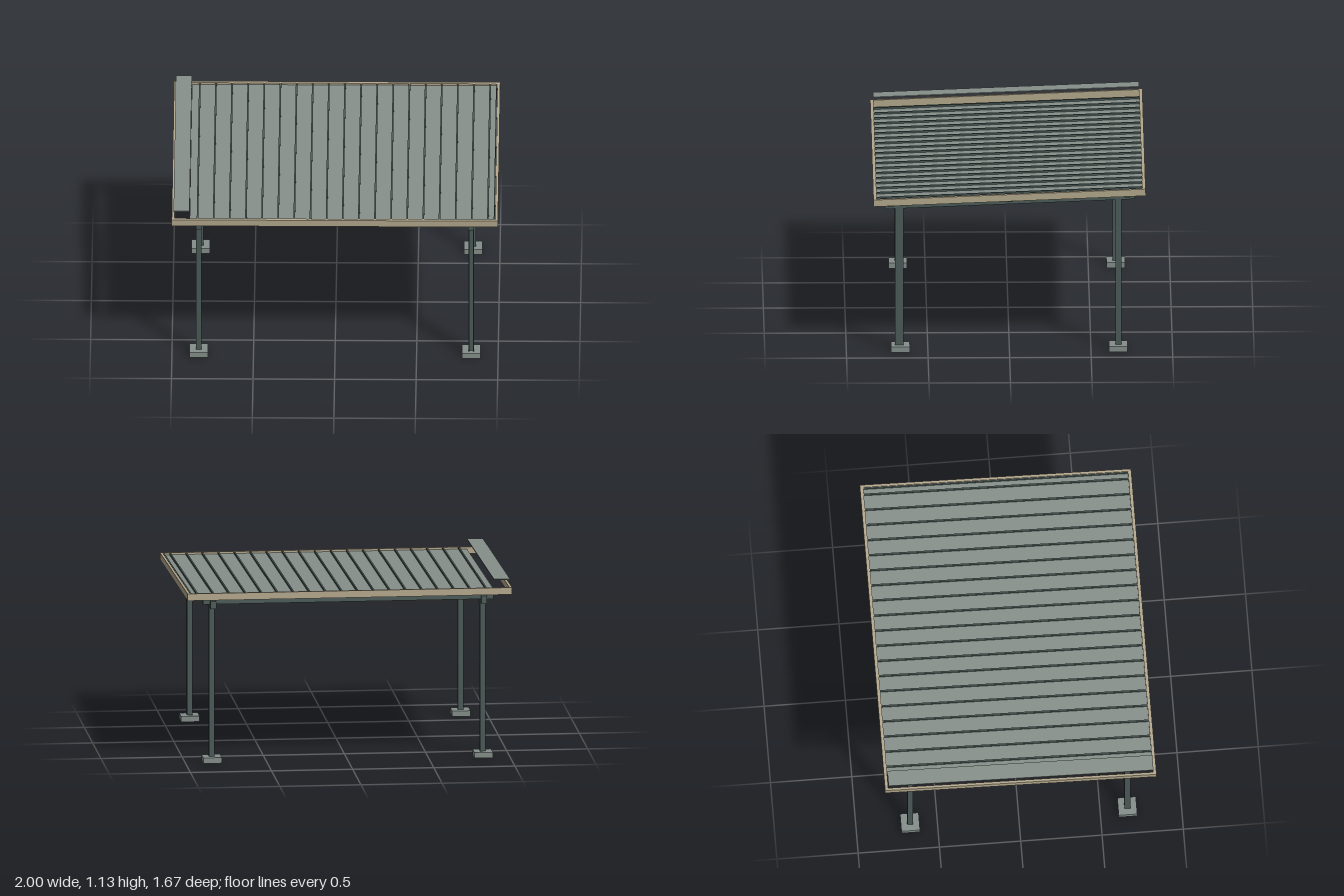
import * as THREE from 'three';

export function createModel() {
  const model = new THREE.Group();
  model.name = 'carport';

  const mat = (name, color) => {
    const m = new THREE.MeshStandardMaterial({ color });
    m.name = name;
    return m;
  };
  const sheet = mat('roof sheet grey', 0x87908b);
  const steel = mat('dark green steel', 0x4c5b58);
  const timber = mat('tan trim', 0xb5a98e);
  const concrete = mat('footing grey', 0x858f8b);

  const box = (parent, name, material, w, h, d, x, y, z) => {
    const mesh = new THREE.Mesh(new THREE.BoxGeometry(w, h, d), material);
    mesh.name = name;
    mesh.position.set(x, y, z);
    parent.add(mesh);
    return mesh;
  };

  // Everything on the roof shares one slope, low at the front
  const slope = 0.039;
  const roofY = 1.029;
  const roof = new THREE.Group();
  roof.name = 'slopedRoof';
  roof.position.y = roofY;
  roof.rotation.x = Math.atan(slope);
  model.add(roof);

  // Perimeter trim
  for (const s of [-1, 1]) {
    box(roof, 'endTrim', timber, 2, 0.043, 0.02, 0, 0, s * 0.825);
    box(roof, 'sideTrim', timber, 0.016, 0.043, 1.63, s * 0.992, 0, 0);
  }

  // Roof sheet, leaving the first bay open on the right
  const left = 0.984, right = -0.89;
  box(roof, 'roofSheet', sheet, left - right, 0.014, 1.63, (left + right) / 2, 0.002, 0);

  // Standing ribs at an even pitch
  for (let i = 0; i <= 18; i++) {
    box(roof, 'roofRib', steel, 0.01, 0.012, 1.63, -0.842 + i * 0.0989, 0.014, 0);
  }
  box(roof, 'edgeRib', steel, 0.008, 0.012, 1.63, 0.978, 0.014, 0);

  // Loose panel raised over the open bay
  box(roof, 'raisedPanel', sheet, 0.098, 0.006, 1.63, -0.94, 0.069, 0);

  // Rafters along the slope, purlins across
  for (const s of [-1, 1]) {
    box(roof, 'rafter', steel, 0.036, 0.05, 1.535, s * 0.835, -0.062, 0);
  }
  for (const z of [-0.722, 0, 0.73]) {
    box(roof, 'purlin', steel, 1.79, 0.045, 0.03, 0, -0.0385, z);
  }

  // Posts on footings, with a saddle bracket at each rafter
  for (const x of [-0.835, 0.835]) {
    for (const z of [-0.668, 0.668]) {
      const top = roofY - 0.065 - z * slope;
      box(model, 'footing', concrete, 0.114, 0.035, 0.114, x, 0.0175, z);
      box(model, 'post', steel, 0.034, top - 0.035, 0.036, x, (top + 0.035) / 2, z);
      for (const s of [-1, 1]) {
        box(model, 'saddlePlate', steel, 0.004, 0.055, 0.036, x + s * 0.02, top, z);
      }
    }
  }

  // Open channel on the front of the left front post
  for (const s of [-1, 1]) {
    box(model, 'channelLip', steel, 0.006, 0.89, 0.016, 0.835 + s * 0.014, 0.48, 0.693);
  }

  return model;
}
